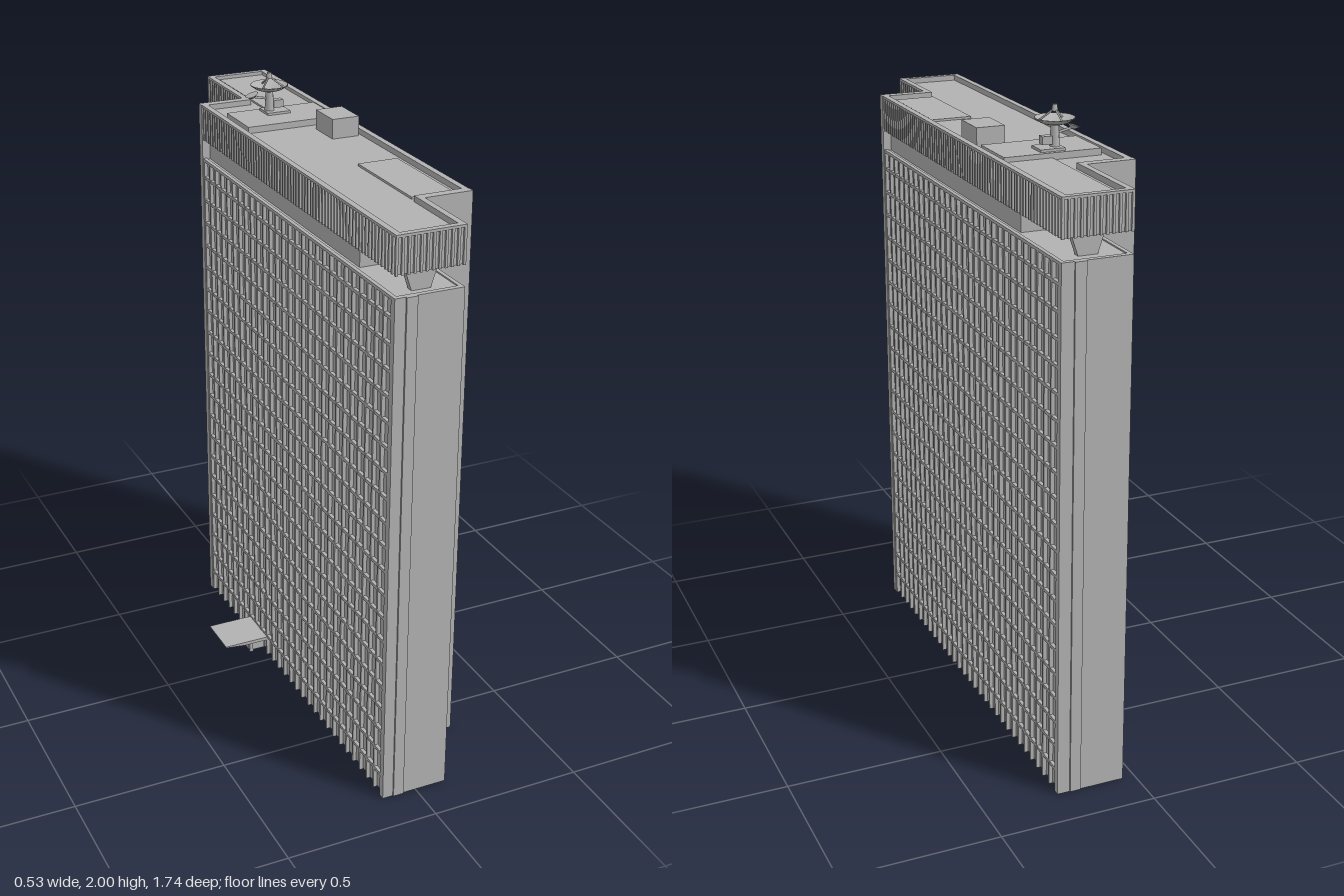
import * as THREE from 'three';
import { mergeGeometries } from 'three/addons/utils/BufferGeometryUtils.js';

const concrete = new THREE.MeshStandardMaterial({ color: 0xb2b2b2, side: THREE.DoubleSide });
concrete.name = 'pale grey concrete';

// Box given by its min and max on each axis
function box(x0, x1, y0, y1, z0, z1) {
  return new THREE.BoxGeometry(x1 - x0, y1 - y0, z1 - z0)
    .translate((x0 + x1) / 2, (y0 + y1) / 2, (z0 + z1) / 2);
}

// Stepped floor plan as [x, z] corners, shrunk by an inset
function plan(i) {
  return [
    [-0.115 + i, 0.865 - i], [0.105 - i, 0.865 - i], [0.105 - i, 0.61 - i], [0.26 - i, 0.61 - i],
    [0.26 - i, -0.865 + i], [0.04 + i, -0.865 + i], [0.04 + i, -0.545 + i], [-0.115 + i, -0.545 + i],
  ];
}

// Vertical prism over the plan, optionally hollow
function prism(inset, y0, y1, holeInset) {
  const toPoints = (i) => plan(i).map(([x, z]) => new THREE.Vector2(x, -z));
  const shape = new THREE.Shape(toPoints(inset));
  if (holeInset) shape.holes.push(new THREE.Path(toPoints(holeInset)));
  return new THREE.ExtrudeGeometry(shape, { depth: y1 - y0, bevelEnabled: false })
    .rotateX(-Math.PI / 2).translate(0, y0, 0);
}

// Thin rod between two points
function rod(a, b, r) {
  const p = new THREE.Vector3(...a), q = new THREE.Vector3(...b);
  return new THREE.TubeGeometry(new THREE.LineCurve3(p, q), 1, r, 6);
}

// Mullions and floor bands on a face of constant x; dir is the outward sign
function windowGrid(x, dir, z0, z1) {
  const parts = [];
  const [a, b] = [Math.min(x, x - dir * 0.013), Math.max(x, x - dir * 0.013)];
  const bays = Math.round((z1 - z0) / 0.0485);
  for (let i = 0; i <= bays; i++) {
    const z = z0 + 0.004 + ((z1 - z0 - 0.008) * i) / bays;
    parts.push(box(a, b, 0, 1.68, z - 0.004, z + 0.004));
  }
  for (let i = 0; i < 20; i++) {
    const y = 0.075 + i * 0.081;
    parts.push(box(a + 0.001, b - 0.001, y - 0.005, y + 0.005, z0, z1));
  }
  parts.push(box(a, b, 1.67, 1.68, z0, z1));
  return mergeGeometries(parts);
}

// Vertical ribs around the crown
function crownRibs() {
  const parts = [];
  const pts = plan(0.004);
  pts.forEach(([x0, z0], k) => {
    const [x1, z1] = pts[(k + 1) % pts.length];
    const alongX = Math.abs(x1 - x0) > Math.abs(z1 - z0);
    const n = Math.round(Math.hypot(x1 - x0, z1 - z0) / 0.02);
    for (let i = 0; i <= n; i++) {
      const x = x0 + ((x1 - x0) * i) / n, z = z0 + ((z1 - z0) * i) / n;
      const hx = alongX ? 0.004 : 0.0039, hz = alongX ? 0.0039 : 0.004;
      parts.push(box(x - hx, x + hx, 1.745, 1.862, z - hz, z + hz));
    }
  });
  return mergeGeometries(parts);
}

// Splayed column, wide at the top
function splayedColumn(x, z) {
  const s = new THREE.Shape([[-0.03, 1.675], [0.03, 1.675], [0.055, 1.75], [-0.055, 1.75]]
    .map((p) => new THREE.Vector2(...p)));
  return new THREE.ExtrudeGeometry(s, { depth: 0.022, bevelEnabled: false }).translate(x, 0, z - 0.011);
}

function createDish() {
  const dish = new THREE.Group();
  dish.name = 'satelliteDish';
  const add = (name, geo) => {
    const m = new THREE.Mesh(geo, concrete);
    m.name = name;
    dish.add(m);
  };
  add('dishBase', box(-0.02, 0.06, 0, 0.012, -0.035, 0.035));
  add('dishPedestal', new THREE.CylinderGeometry(0.012, 0.016, 0.075, 10).translate(0, 0.045, 0));
  add('dishMotor', box(0.012, 0.045, 0.02, 0.045, -0.012, 0.012));
  const bowl = [[0, 0.075], [0.022, 0.077], [0.044, 0.084], [0.062, 0.096], [0.06, 0.099], [0.04, 0.088], [0, 0.082]];
  add('dishBowl', new THREE.LatheGeometry(bowl.map((p) => new THREE.Vector2(...p)), 20));
  // Three struts meeting at the feed horn
  for (let i = 0; i < 3; i++) {
    const t = (i * 2 * Math.PI) / 3 + 0.4;
    add('feedStrut', rod([0.045 * Math.cos(t), 0.09, 0.045 * Math.sin(t)], [0, 0.125, 0], 0.003));
  }
  add('feedHorn', new THREE.CylinderGeometry(0.007, 0.01, 0.02, 10).translate(0, 0.127, 0));
  // Small secondary dish on an arm
  add('sideArm', rod([0, 0.05, 0], [-0.055, 0.062, 0], 0.004));
  add('sideDish', new THREE.CylinderGeometry(0.022, 0.006, 0.012, 12).rotateZ(0.35).translate(-0.06, 0.064, 0));
  dish.position.set(0.05, 1.863, -0.35);
  return dish;
}

export function createModel() {
  const model = new THREE.Group();
  model.name = 'slabTower';
  const add = (name, geo) => {
    const m = new THREE.Mesh(geo, concrete);
    m.name = name;
    model.add(m);
  };

  // Tower body and its window grids
  add('glazedCore', prism(0.012, 0.004, 1.676));
  add('rightLongGrid', windowGrid(-0.115, -1, -0.53, 0.85));
  add('leftLongGrid', windowGrid(0.26, 1, -0.85, 0.595));
  add('frontWingGrid', windowGrid(0.105, 1, 0.62, 0.85));
  add('backWingGrid', windowGrid(0.04, -1, -0.85, -0.555));

  // Blank end walls with a raised strip
  add('frontEndWall', box(-0.115, 0.105, 0, 1.68, 0.848, 0.865));
  add('backEndWall', box(0.04, 0.26, 0, 1.68, -0.865, -0.848));
  add('frontStrip', box(-0.08, -0.045, 0.002, 1.68, 0.864, 0.871));
  add('backStrip', box(0.185, 0.22, 0.002, 1.68, -0.871, -0.864));

  // Full-height walls at the steps in the plan
  add('frontStepWall', box(0.1, 0.262, 0, 1.864, 0.595, 0.62));
  add('backStepWall', box(-0.117, 0.045, 0, 1.864, -0.555, -0.53));

  // Recessed top storey and columns carrying the crown
  add('recessedStorey', box(-0.09, 0.235, 1.67, 1.75, -0.53, 0.6));
  add('frontColumn', splayedColumn(-0.01, 0.81));
  add('backColumn', splayedColumn(0.155, -0.8));

  // Ribbed crown and roof
  add('crownWall', prism(0.007, 1.746, 1.861, 0.02));
  add('crownRibs', crownRibs());
  add('crownCap', prism(0, 1.856, 1.864, 0.02));
  add('roof', prism(0.015, 1.747, 1.846));
  add('roofPlatform', box(-0.08, 0.233, 1.84, 1.867, -0.4, -0.22));
  add('roofPanel', box(0.088, 0.222, 1.84, 1.853, 0.225, 0.57));
  add('backRoofPanel', box(0.078, 0.243, 1.84, 1.852, -0.845, -0.4));
  add('plantRoom', box(0.138, 0.23, 1.84, 1.91, -0.18, -0.055));
  model.add(createDish());

  // Entrance canopy and porch
  const canopy = new THREE.Shape([[-0.27, 0.069], [-0.2, 0.061], [-0.11, 0.061], [-0.11, 0.073], [-0.27, 0.073]]
    .map((p) => new THREE.Vector2(...p)));
  add('entranceCanopy', new THREE.ExtrudeGeometry(canopy, { depth: 0.15, bevelEnabled: false }).translate(0, 0, -0.18));
  add('entrancePorch', box(-0.165, -0.11, 0.008, 0.062, -0.14, -0.07));
  // Canopy brackets
  const bracket = new THREE.Shape([[-0.2, 0.062], [-0.2, 0.055], [-0.168, 0.05], [-0.168, 0.008], [-0.155, 0.008], [-0.155, 0.062]]
    .map((p) => new THREE.Vector2(...p)));
  for (const z of [-0.15, -0.07]) {
    add('canopyBracket', new THREE.ExtrudeGeometry(bracket, { depth: 0.01, bevelEnabled: false }).translate(0, 0, z));
  }
  return model;
}
